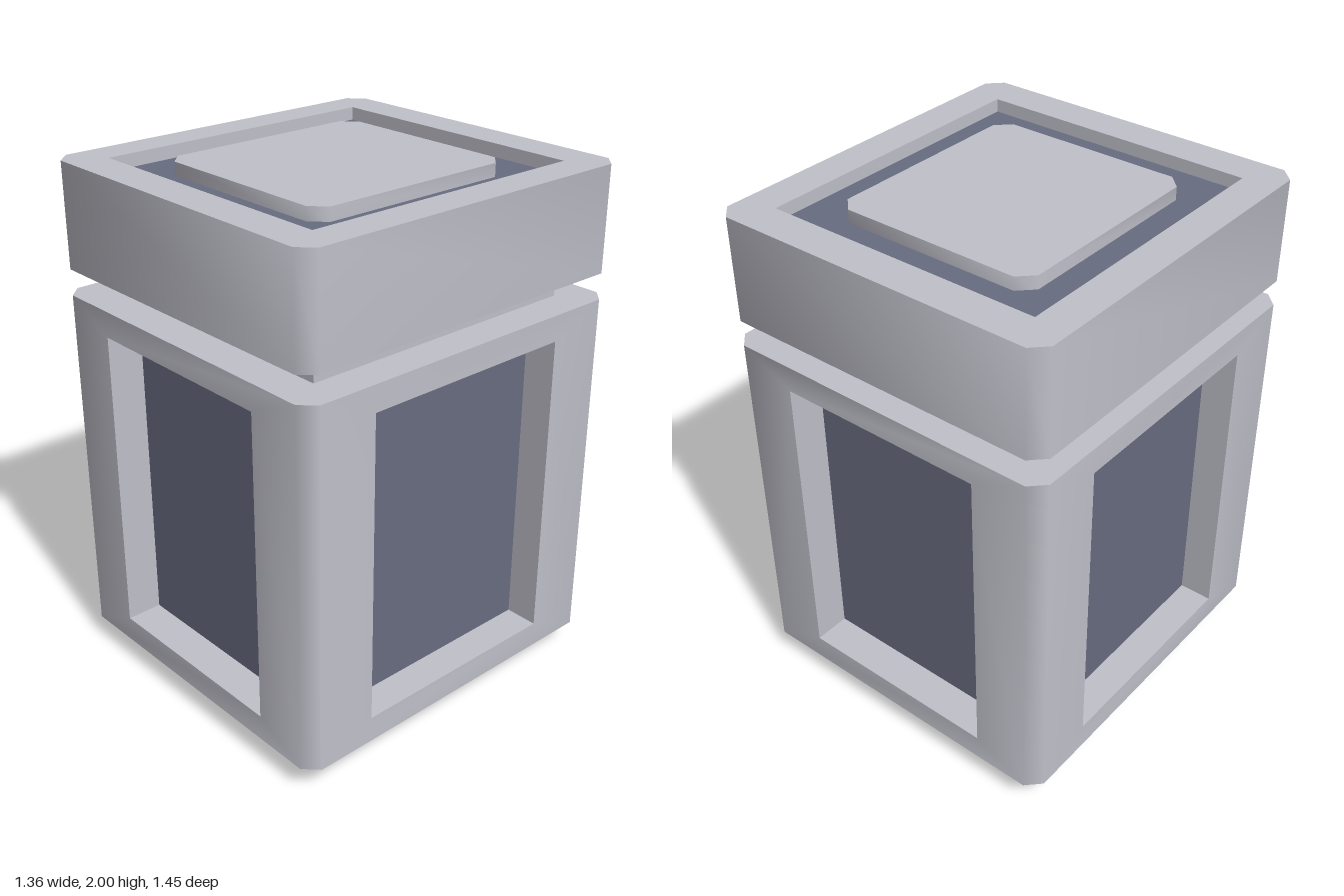
import * as THREE from 'three';
import { mergeGeometries, toCreasedNormals } from 'three/addons/utils/BufferGeometryUtils.js';

const X = 0.68, Z = 0.725, C = 0.054;   // outer half sizes and corner chamfer
const NX = 0.545, NZ = 0.58;            // inner core half sizes
const WX = 0.41, WZ = 0.437;            // window half widths
const Y0 = 0.1, Y1 = 1.5, W0 = 0.2, W1 = 1.4;

const light = new THREE.MeshStandardMaterial({ color: 0xc0c0ca });
light.name = 'pale grey metal';
const dark = new THREE.MeshStandardMaterial({ color: 0x686c80 });
dark.name = 'slate panel';

// Smooths over the 45 degree chamfers only; the shift keeps corners off rounding limits
function smooth(geo) {
  const s = 0.002;
  geo.translate(s, s, s);
  return toCreasedNormals(geo, 1).translate(-s, -s, -s);
}

function rect(x0, x1, y0, y1, Type = THREE.Shape) {
  return new Type([[x0, y0], [x1, y0], [x1, y1], [x0, y1]].map(p => new THREE.Vector2(...p)));
}

function octagon(x, z, c) {
  const pts = [[x, c - z], [x, z - c], [x - c, z], [c - x, z], [-x, z - c], [-x, c - z], [c - x, -z], [x - c, -z]];
  return new THREE.Shape(pts.map(p => new THREE.Vector2(...p)));
}

function slab(shape, y0, y1) {
  const g = new THREE.ExtrudeGeometry(shape, { depth: y1 - y0, bevelEnabled: false });
  return smooth(g.rotateX(-Math.PI / 2).translate(0, y0, 0));
}

// Wall with a window hole and its reveals, facing +z
function wall(half, dist, win, depth) {
  const shape = rect(-half, half, Y0, Y1);
  shape.holes.push(rect(-win, win, W0, W1, THREE.Path));
  const parts = [new THREE.ShapeGeometry(shape).translate(0, 0, dist)];
  const mid = (W0 + W1) / 2, z = dist - depth / 2, q = Math.PI / 2;
  for (const s of [-1, 1]) {
    parts.push(new THREE.PlaneGeometry(depth, W1 - W0).rotateY(-s * q).translate(s * win, mid, z));
    parts.push(new THREE.PlaneGeometry(2 * win, depth).rotateX(s * q).translate(0, s > 0 ? W1 : W0, z));
  }
  return mergeGeometries(parts);
}

export function createModel() {
  const group = new THREE.Group();
  const add = (name, geo, mat) => {
    const m = new THREE.Mesh(geo, mat);
    m.name = name;
    group.add(m);
    return m;
  };

  // Inner core: foot, window backing and neck
  add('core', new THREE.BoxGeometry(2 * NX, 1.94, 2 * NZ).translate(0, 0.97, 0), light);

  // Body shell: four windowed walls, four chamfers, top and bottom caps
  const shell = [];
  for (let k = 0; k < 4; k++) {
    const side = k % 2;
    const g = side ? wall(Z - C, X, WZ, X - NX) : wall(X - C, Z, WX, Z - NZ);
    shell.push(g.rotateY(k * Math.PI / 2));

    // Recessed panel behind each window
    const panel = new THREE.BoxGeometry(2 * (side ? WZ : WX), W1 - W0, 0.004);
    panel.translate(0, (W0 + W1) / 2, (side ? NX : NZ) + 0.002).rotateY(k * Math.PI / 2);
    add(['frontPanel', 'leftPanel', 'backPanel', 'rightPanel'][k], panel, dark);
  }
  for (const sx of [-1, 1]) for (const sz of [-1, 1]) {
    shell.push(new THREE.PlaneGeometry(C * Math.SQRT2, Y1 - Y0).rotateY(Math.atan2(sx, sz))
      .translate(sx * (X - C / 2), (Y0 + Y1) / 2, sz * (Z - C / 2)));
  }
  for (const s of [-1, 1]) {
    shell.push(new THREE.ShapeGeometry(octagon(X, Z, C)).rotateX(-s * Math.PI / 2)
      .translate(0, s > 0 ? Y1 : Y0, 0));
  }
  add('body', smooth(mergeGeometries(shell)), light);

  // Lid ring with a recessed dark floor and a raised centre plate
  const ring = octagon(X, Z, C);
  ring.holes.push(rect(-NX, NX, -NZ, NZ, THREE.Path));
  add('lid', slab(ring, 1.6, 2), light);
  add('lidFloor', new THREE.BoxGeometry(2 * NX, 0.008, 2 * NZ).translate(0, 1.946, 0), dark);
  add('lidPlate', slab(octagon(0.405, WZ, C), 1.94, 2), light);

  return group;
}
